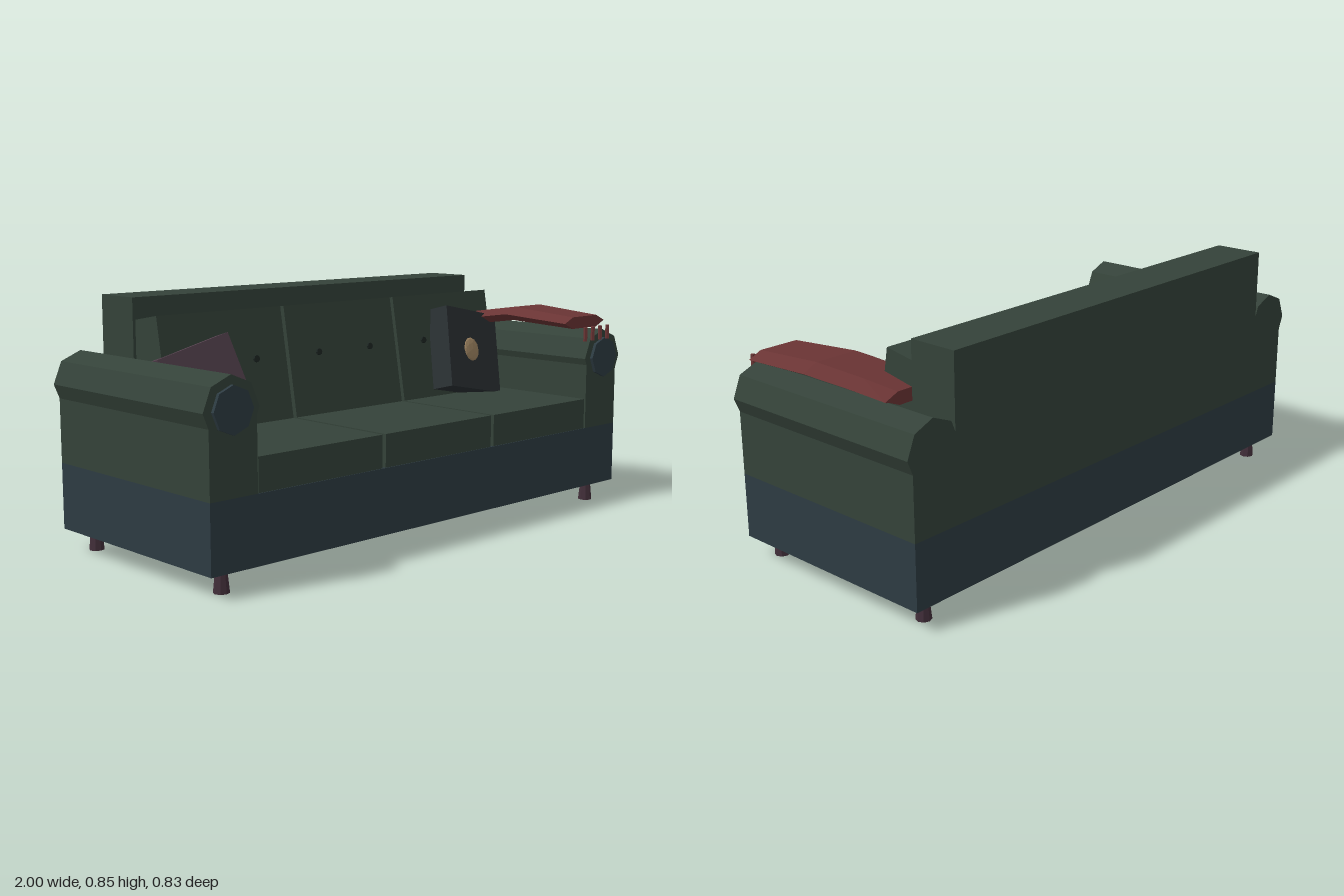
import * as THREE from 'three';

const mat = (color) => new THREE.MeshStandardMaterial({ color, flatShading: true });
const fabric = mat(0x344239), baseFabric = mat(0x2d3b42), wood = mat(0x412e39);
const plum = mat(0x503e4a), charcoal = mat(0x2a3033), gold = mat(0x9c8260);
const red = mat(0x6a3434), dark = mat(0x1c2522);

function add(parent, name, geometry, material, x = 0, y = 0, z = 0) {
  const mesh = new THREE.Mesh(geometry, material);
  mesh.name = name;
  mesh.position.set(x, y, z);
  parent.add(mesh);
  return mesh;
}

// Box given by its min and max on each axis
function block(parent, name, material, x0, x1, y0, y1, z0, z1) {
  return add(parent, name, new THREE.BoxGeometry(x1 - x0, y1 - y0, z1 - z0), material,
    (x0 + x1) / 2, (y0 + y1) / 2, (z0 + z1) / 2);
}

// Cylinder lying along z
const rod = (r, length, sides) => new THREE.CylinderGeometry(r, r, length, sides).rotateX(Math.PI / 2);

// Thick throw: six-sided cross-sections joined front to back
function throwGeometry() {
  // z, centre x, half width, centre y, half height
  const sections = [
    [0.342, 0.845, 0.12, 0.698, 0.022],
    [0.06, 0.845, 0.131, 0.716, 0.026],
    [-0.11, 0.808, 0.126, 0.692, 0.025],
    [-0.225, 0.775, 0.13, 0.672, 0.022],
  ];
  const ring = [[1, 0], [0.6, 1], [-0.6, 1], [-1, 0], [-0.6, -1], [0.6, -1]];
  const points = [], index = [], n = ring.length;
  for (const [z, cx, hw, cy, hh] of sections)
    for (const [u, v] of ring) points.push(cx + u * hw, cy + v * hh, z);
  for (let s = 0; s < sections.length - 1; s++)
    for (let i = 0; i < n; i++) {
      const a = s * n + i, b = s * n + (i + 1) % n;
      index.push(a, a + n, b, b, a + n, b + n);
    }
  const last = (sections.length - 1) * n;
  for (let i = 1; i < n - 1; i++) index.push(0, i, i + 1, last, last + i + 1, last + i);
  const g = new THREE.BufferGeometry();
  g.setAttribute('position', new THREE.Float32BufferAttribute(points, 3));
  g.setIndex(index);
  g.computeVertexNormals();
  return g;
}

// Throw pillow placed by the centre of its front face
function pillow(parent, name, material, size, depth, position, tilt, yaw, roll) {
  const group = new THREE.Group();
  group.name = name;
  group.position.set(...position);
  group.rotation.set(tilt, yaw, roll, 'YXZ');
  add(group, name + 'Body', new THREE.BoxGeometry(size, size, depth), material, 0, 0, -depth / 2);
  parent.add(group);
  return group;
}

export function createModel() {
  const sofa = new THREE.Group();
  sofa.name = 'sofa';

  // Frame
  block(sofa, 'base', baseFabric, -0.98, 0.98, 0.075, 0.3, -0.415, 0.39);
  block(sofa, 'back', fabric, -0.805, 0.805, 0.3, 0.85, -0.415, -0.237);

  // Arms and legs, mirrored
  for (const side of [-1, 1]) {
    const x = side * 0.895;
    add(sofa, 'armPanel', new THREE.BoxGeometry(0.18, 0.263, 0.805), fabric, side * 0.89, 0.4315, -0.0125);
    add(sofa, 'armRoll', rod(0.105, 0.805, 8), fabric, x, 0.565, -0.0125);
    add(sofa, 'armCap', rod(0.075, 0.014, 8), baseFabric, x, 0.565, 0.395);
    for (const z of [0.327, -0.353])
      add(sofa, 'leg', new THREE.CylinderGeometry(0.018, 0.026, 0.077, 8), wood, x, 0.0385, z);
  }

  // Seat cushions and leaning back cushions with two buttons each
  const lean = -0.172;
  for (const x of [-0.535, 0, 0.535]) {
    block(sofa, 'seatCushion', fabric, x - 0.26, x + 0.26, 0.3, 0.412, -0.24, 0.387);
    const backCushion = new THREE.Group();
    backCushion.name = 'backCushion';
    backCushion.position.set(x, 0.797, -0.12);
    backCushion.rotation.x = lean;
    block(backCushion, 'cushionBody', fabric, -0.26, 0.26, -0.43, 0, -0.17, 0);
    for (const dx of [-0.125, 0.125])
      add(backCushion, 'button', rod(0.012, 0.012, 8), dark, dx, -0.172, 0.002);
    sofa.add(backCushion);
  }

  // Throw pillows
  pillow(sofa, 'plumPillow', plum, 0.28, 0.1, [-0.68, 0.57, 0], -0.25, -0.12, 0.26);
  const darkPillow = pillow(sofa, 'darkPillow', charcoal, 0.31, 0.09, [0.606, 0.582, -0.004], -0.25, 0.12, -0.2);
  const ornament = add(darkPillow, 'pillowOrnament', new THREE.IcosahedronGeometry(0.046, 1), gold, -0.016, 0, 0);
  ornament.scale.z = 0.2;

  // Throw blanket with tassels
  add(sofa, 'throwBlanket', throwGeometry(), red);
  for (let i = 0; i < 4; i++)
    add(sofa, 'tassel', new THREE.CylinderGeometry(0.008, 0.008, 0.053, 5), red, 0.765 + i * 0.045, 0.662, 0.408);

  return sofa;
}
